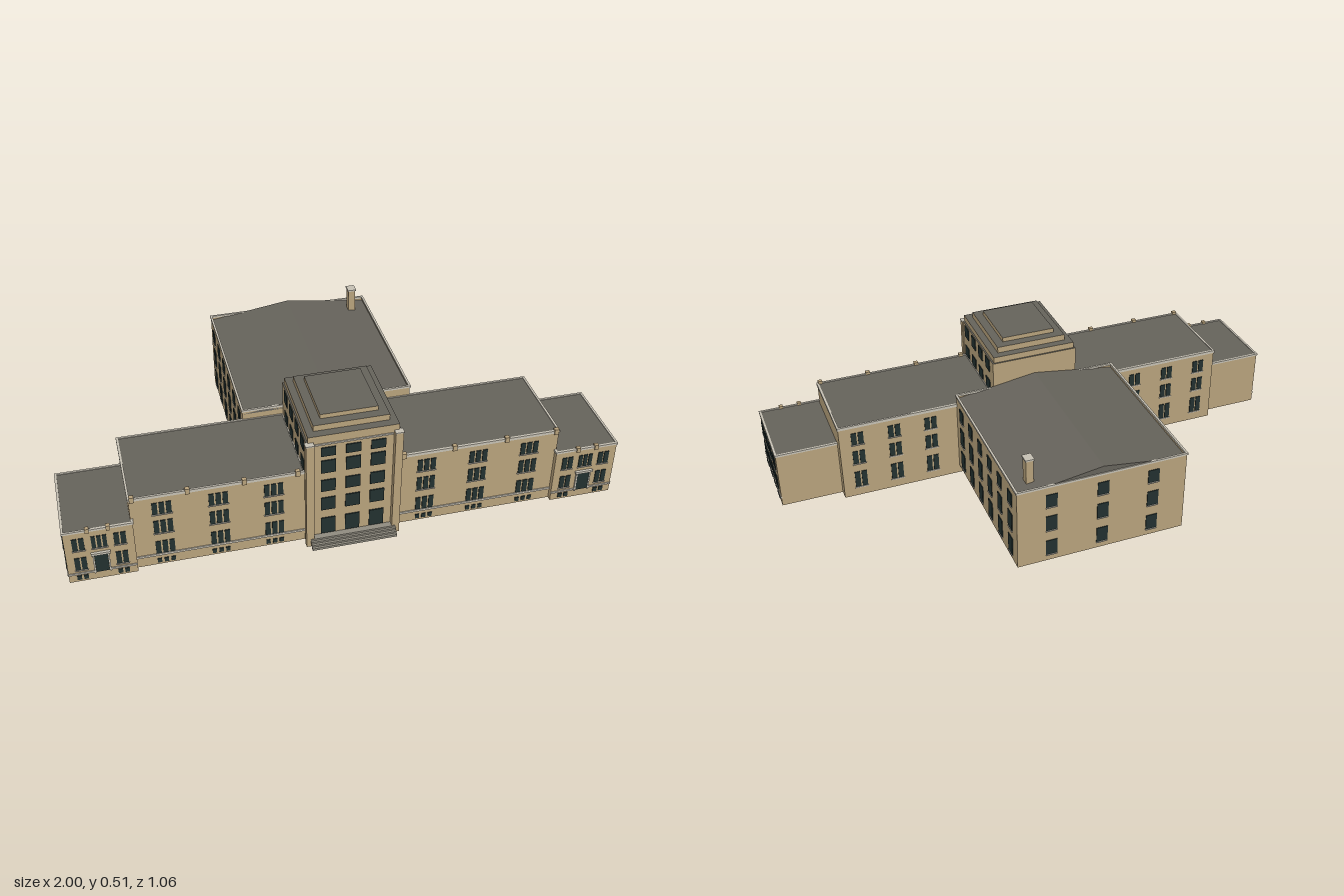
import * as THREE from 'three';
import { mergeGeometries } from 'three/addons/utils/BufferGeometryUtils.js';

export function createModel() {
  const model = new THREE.Group();
  const mat = (name, color, side = THREE.FrontSide) => {
    const m = new THREE.MeshStandardMaterial({ color, side });
    m.name = name;
    return m;
  };
  const wall = mat('sandstone', 0xb8a27c, THREE.DoubleSide);
  const roof = mat('roofGrey', 0x66635b, THREE.DoubleSide);
  const glass = mat('darkGlass', 0x22302f);
  const trim = mat('paleTrim', 0xc6c1b4);
  const stone = mat('greyStone', 0x908c80);

  const add = (name, geometry, material) => {
    const mesh = new THREE.Mesh(geometry, material);
    mesh.name = name;
    model.add(mesh);
    return mesh;
  };
  const block = (x0, x1, y0, y1, z0, z1) =>
    new THREE.BoxGeometry(Math.abs(x1 - x0), y1 - y0, Math.abs(z1 - z0))
      .translate((x0 + x1) / 2, (y0 + y1) / 2, (z0 + z1) / 2);
  const merged = (name, list, material) => add(name, mergeGeometries(list), material);

  // Hollow wing with four walls, open underneath, and an optional flat roof
  const wing = (name, x0, x1, y0, y1, z0, z1, hasRoof = true) => {
    const g = block(x0, x1, y0, y1, z0, z1);
    const i = Array.from(g.index.array);
    g.setIndex([...i.slice(0, 12), ...i.slice(24, 36), ...(hasRoof ? i.slice(12, 18) : [])]);
    g.clearGroups();
    g.addGroup(0, 24, 0);
    if (hasRoof) g.addGroup(24, 6, 1);
    return add(name, g, [wall, roof]);
  };

  // Thin plate on a wall facing z (or facing x when side is true)
  const plate = (plane, u, y0, y1, w, side = false, t = 0.006) => side
    ? block(plane - t / 2, plane + t / 2, y0, y1, u - w / 2, u + w / 2)
    : block(u - w / 2, u + w / 2, y0, y1, plane - t / 2, plane + t / 2);

  const panes = [], sills = [];
  // One opening made of n lights, with an optional sill
  const opening = (plane, u, [y0, y1], n, w, gap, side = false, sill = true) => {
    for (let k = 0; k < n; k++)
      panes.push(plate(plane, u + (k - (n - 1) / 2) * (w + gap), y0, y1, w, side));
    if (sill) sills.push(plate(plane, u, y0 - 0.005, y0 - 0.001, n * (w + gap), side, 0.009));
  };

  // Coping around the top of a rectangular wing
  const coping = (x0, x1, z0, z1, y, h = 0.01, t = 0.008) => {
    const o = 0.003;
    return [
      block(x0 - o, x1 + o, y - h, y + 0.001, z1 + o - t, z1 + o),
      block(x0 - o, x1 + o, y - h, y + 0.001, z0 - o, z0 - o + t),
      block(x0 - o, x0 - o + t, y - h, y + 0.001, z0, z1),
      block(x1 + o - t, x1 + o, y - h, y + 0.001, z0, z1),
    ];
  };

  const copings = [], bands = [], studs = [], hoods = [];
  const basement = [0.009, 0.027];
  const wingRows = [[0.04, 0.107], [0.145, 0.2], [0.23, 0.28]];
  const endRows = [[0.054, 0.108], [0.142, 0.194]];

  for (const s of [-1, 1]) {
    const span = (a, b) => (s > 0 ? [a, b] : [-b, -a]);

    // Long side wings
    const [wx0, wx1] = span(0.165, 0.768);
    wing('sideWing', wx0, wx1, 0, 0.311, 0.122, 0.46);
    copings.push(...coping(wx0, wx1, 0.122, 0.46, 0.313));
    bands.push(plate(0.46, (wx0 + wx1) / 2, 0.042, 0.05, 0.6, false, 0.008));
    for (const x of [0.275, 0.467, 0.66]) {
      for (const [y0, y1] of wingRows) opening(0.46, s * x, [Math.max(y0, 0.052), y1], 3, 0.018, 0.006);
      opening(0.46, s * x, basement, 3, 0.015, 0.009, false, false);
    }
    for (const x of [0.42, 0.56, 0.7])
      for (const row of wingRows) opening(0.122, s * x, row, 2, 0.02, 0.006);
    for (const x of [0.19, 0.375, 0.57, 0.757])
      studs.push(block(s * x - 0.008, s * x + 0.008, 0.3, 0.322, 0.452, 0.467));

    // Low end pavilions
    const [ex0, ex1] = span(0.762, 0.997);
    wing('endPavilion', ex0, ex1, 0, 0.224, 0.162, 0.478);
    copings.push(...coping(ex0, ex1, 0.162, 0.478, 0.226, 0.007));
    bands.push(plate(0.478, (ex0 + ex1) / 2, 0.033, 0.04, 0.235, false, 0.008));
    bands.push(plate(s * 0.997, 0.32, 0.033, 0.04, 0.316, true, 0.006));
    for (const x of [0.81, 0.88, 0.95]) {
      const n = x === 0.88 ? 3 : 2;
      opening(0.478, s * x, endRows[1], n, n === 3 ? 0.014 : 0.018, 0.005);
      if (n === 2) {
        opening(0.478, s * x, endRows[0], 2, 0.018, 0.005);
        opening(0.478, s * x, basement, 2, 0.016, 0.007, false, false);
      }
    }
    for (const z of [0.435, 0.363, 0.29, 0.216]) {
      for (const row of endRows) opening(s * 0.997, z, row, 2, 0.021, 0.005, true);
      opening(s * 0.997, z, basement, 2, 0.017, 0.008, true, false);
    }
    for (const x of [0.845, 0.915])
      studs.push(block(s * x - 0.007, s * x + 0.007, 0.215, 0.234, 0.47, 0.485));

    // Entrance door and hood of the pavilion
    panes.push(plate(0.48, s * 0.88, 0.035, 0.112, 0.046));
    hoods.push(block(s * 0.88 - 0.033, s * 0.88 + 0.033, 0.113, 0.122, 0.476, 0.488));
    for (const e of [-1, 1]) hoods.push(plate(0.481, s * 0.88 + e * 0.026, 0.03, 0.113, 0.005));

    // Windows on the sides of the tower and rear block
    for (const z of [0.434, 0.351, 0.269, 0.186])
      for (const row of [[0.315, 0.358], [0.398, 0.446]]) opening(s * 0.166, z, row, 1, 0.044, 0, true, false);
    for (let k = 0; k < 6; k++)
      for (const row of [[0.054, 0.125], [0.16, 0.23], [0.265, 0.316]])
        opening(s * 0.315, 0.062 - k * 0.1045, row, 1, 0.04, 0, true);
  }

  // Central tower with stepped crown
  wing('tower', -0.166, 0.166, 0, 0.452, 0.125, 0.482);
  wing('towerCrownLower', -0.16, 0.16, 0.45, 0.475, 0.131, 0.485);
  wing('towerCrownMiddle', -0.134, 0.134, 0.475, 0.498, 0.16, 0.455);
  wing('towerCrownTop', -0.102, 0.102, 0.498, 0.515, 0.193, 0.422);
  const piers = [];
  for (const s of [-1, 1]) {
    piers.push(block(s * 0.142, s * 0.17, 0, 0.45, 0.48, 0.503));
    sills.push(block(s * 0.141, s * 0.172, 0.448, 0.452, 0.48, 0.505));
  }
  merged('towerPier', piers, wall);
  bands.push(plate(0.483, 0, 0.434, 0.44, 0.28));
  for (const x of [-0.088, 0, 0.088])
    for (const row of [[0.037, 0.107], [0.145, 0.2], [0.23, 0.28], [0.312, 0.366], [0.385, 0.422]])
      opening(0.483, x, row, 1, 0.052, 0, false, false);

  // Front stairs
  const steps = [];
  for (let k = 0; k < 4; k++)
    steps.push(block(-0.155, 0.155, 0.003 + k * 0.007, 0.012 + k * 0.007, 0.531 - k * 0.009, 0.518 - k * 0.009));
  steps.push(block(-0.155, 0.155, 0.024, 0.033, 0.48, 0.505));
  merged('frontSteps', steps, stone);

  // Rear block with parapet and low gable roof
  wing('rearBlock', -0.315, 0.315, 0.033, 0.35, -0.526, 0.124, false);
  copings.push(...coping(-0.315, 0.315, -0.526, 0.124, 0.353, 0.007));
  const gable = new THREE.Shape([[-0.314, 0.335], [0.314, 0.335], [0, 0.38]].map(p => new THREE.Vector2(...p)));
  add('rearRoof', new THREE.ExtrudeGeometry(gable, { depth: 0.649, bevelEnabled: false }).translate(0, 0, -0.525), roof);
  for (const x of [-0.19, 0, 0.19])
    for (const row of [[0.06, 0.12], [0.165, 0.225], [0.265, 0.316]]) opening(-0.526, x, row, 1, 0.042, 0);

  // Chimney
  add('chimney', block(0.235, 0.262, 0.335, 0.436, -0.477, -0.445), wall);
  add('chimneyCap', block(0.232, 0.265, 0.434, 0.44, -0.48, -0.442), trim);

  merged('windows', panes, glass);
  merged('windowSills', sills, trim);
  merged('copings', copings, trim);
  merged('stringCourses', bands, trim);
  merged('parapetBlocks', studs, wall);
  merged('doorSurrounds', hoods, trim);
  return model;
}
